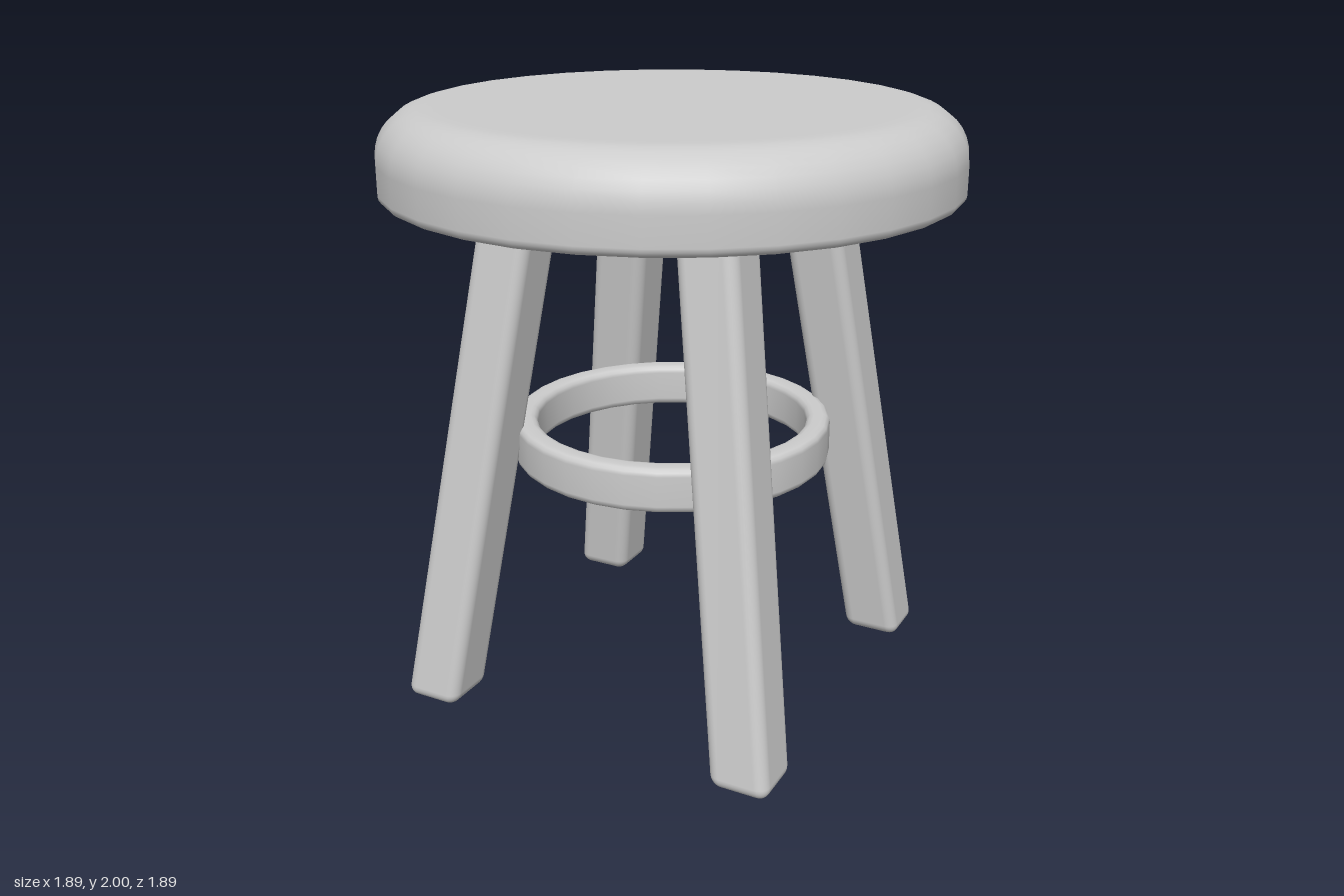
import * as THREE from 'three';
import { RoundedBoxGeometry } from 'three/addons/geometries/RoundedBoxGeometry.js';

const material = new THREE.MeshStandardMaterial({ color: 0xcccccc });
const SIDES = 32;

// Points of a rounded profile corner, swept counter-clockwise
function corner(cx, cy, r, startDeg, steps) {
  const points = [];
  for (let i = 0; i <= steps; i++) {
    const a = THREE.MathUtils.degToRad(startDeg + (90 * i) / steps);
    points.push(new THREE.Vector2(cx + r * Math.cos(a), cy + r * Math.sin(a)));
  }
  return points;
}

function addLathe(group, name, points) {
  const mesh = new THREE.Mesh(new THREE.LatheGeometry(points, SIDES), material);
  mesh.name = name;
  group.add(mesh);
}

export function createModel() {
  const group = new THREE.Group();
  group.name = 'stool';

  // Thick round seat: small roll at the bottom edge, large roll at the top
  addLathe(group, 'seat', [
    new THREE.Vector2(0, 1.72),
    new THREE.Vector2(0.88, 1.72),
    ...corner(0.915, 1.75, 0.03, -90, 4),
    ...corner(0.785, 1.84, 0.16, 0, 8),
    new THREE.Vector2(0.75, 2),
    new THREE.Vector2(0, 2),
  ]);

  // Foot ring: rounded rectangular section joining the legs
  const inner = 0.46, outer = 0.54, low = 0.8, high = 0.95, r = 0.025;
  const section = [
    ...corner(outer - r, low + r, r, -90, 3),
    ...corner(outer - r, high - r, r, 0, 3),
    ...corner(inner + r, high - r, r, 90, 3),
    ...corner(inner + r, low + r, r, 180, 3),
  ];
  section.push(section[0].clone());
  addLathe(group, 'footRing', section);

  // Splayed square leg: an upright rounded bar sheared inwards as it rises
  const height = 1.82;
  const legGeometry = new RoundedBoxGeometry(0.202, height, 0.202, 4, 0.04);
  legGeometry.translate(0, height / 2, 0);
  const slopeX = -0.143, slopeZ = -0.131;
  legGeometry.applyMatrix4(new THREE.Matrix4().set(
    1, slopeX, 0, 0.582,
    0, 1, 0, 0,
    0, slopeZ, 1, 0.587,
    0, 0, 0, 1,
  ));

  // Four legs, a quarter turn apart
  ['frontLeftLeg', 'backLeftLeg', 'backRightLeg', 'frontRightLeg'].forEach((name, i) => {
    const leg = new THREE.Mesh(legGeometry, material);
    leg.name = name;
    leg.rotation.y = (i * Math.PI) / 2;
    group.add(leg);
  });

  return group;
}
